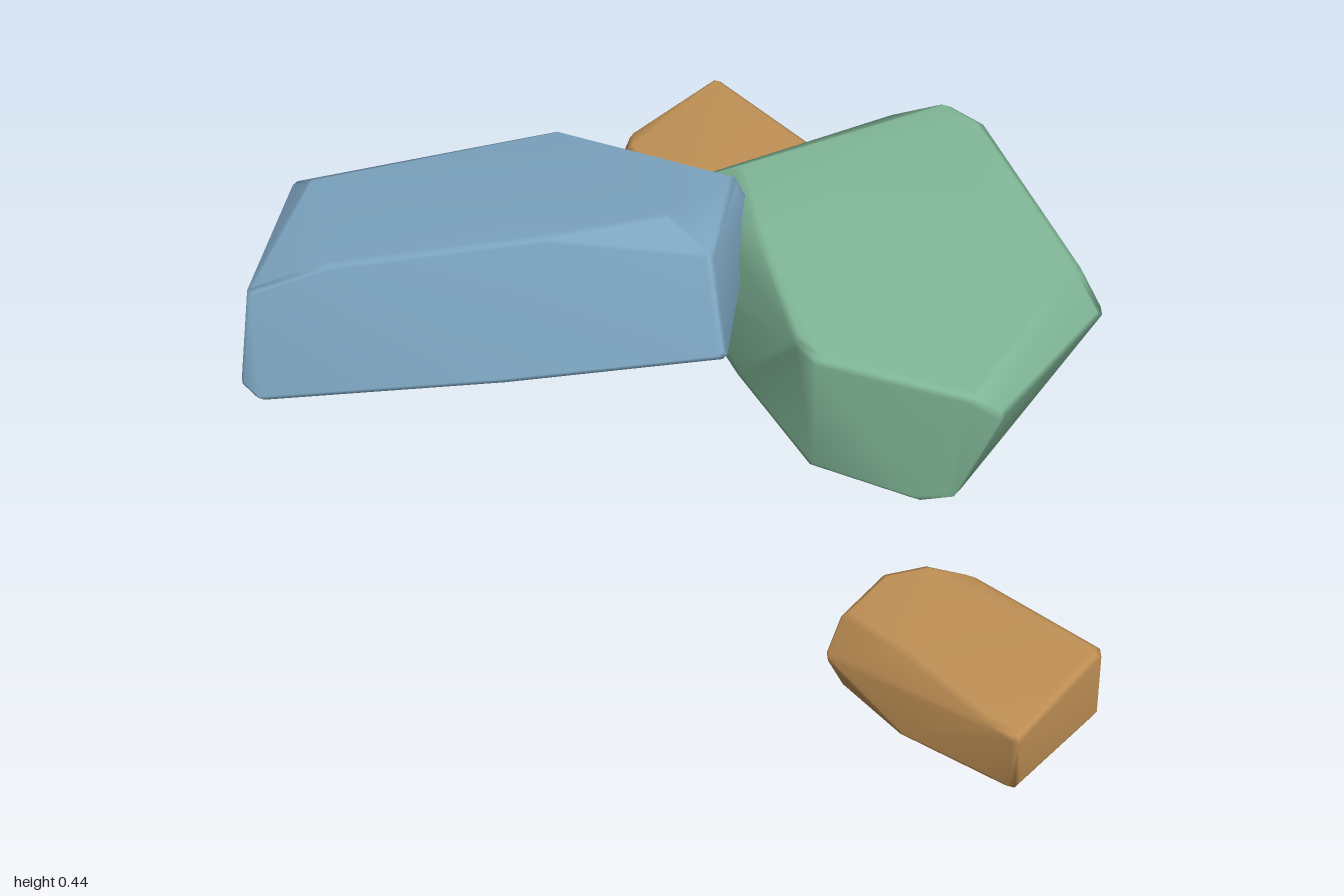
import * as THREE from 'three';
import { ConvexGeometry } from 'three/addons/geometries/ConvexGeometry.js';
import { mergeVertices } from 'three/addons/utils/BufferGeometryUtils.js';

const clamp = THREE.MathUtils.clamp;

// Directions of a small ball, used to soften every corner
const ball = [];
for (let x = -1; x <= 1; x++)
  for (let y = -1; y <= 1; y++)
    for (let z = -1; z <= 1; z++) {
      const n = Math.abs(x) + Math.abs(y) + Math.abs(z);
      if (n === 1 || n === 3) ball.push(new THREE.Vector3(x, y, z).normalize());
    }

// Convex stone through its corners, with edges rounded by radius r
function stone(name, material, r, corners) {
  const pts = corners.map((c) => new THREE.Vector3(...c));
  const mid = new THREE.Box3().setFromPoints(pts).getCenter(new THREE.Vector3());
  const inset = (v, m, s) => v - r * clamp((v - m) / s, -1, 1);
  const cloud = [];
  for (const p of pts) {
    const c = new THREE.Vector3(inset(p.x, mid.x, 0.1), inset(p.y, mid.y, 0.05), inset(p.z, mid.z, 0.1));
    for (const d of ball) cloud.push(c.clone().addScaledVector(d, r));
  }
  let geometry = new ConvexGeometry(cloud);
  geometry.deleteAttribute('normal');
  geometry = mergeVertices(geometry, 1e-4);
  geometry.computeVertexNormals();
  const mesh = new THREE.Mesh(geometry, material);
  mesh.name = name;
  return mesh;
}

export function createModel() {
  const paint = (name, color) => {
    const m = new THREE.MeshStandardMaterial({ color });
    m.name = name;
    return m;
  };
  const blue = paint('dusty blue', 0x7fa8c4);
  const green = paint('sage green', 0x7fb596);
  const ochre = paint('ochre', 0xc09055);

  const group = new THREE.Group();
  group.name = 'stones';

  // Long slab leaning up toward the middle
  group.add(stone('longSlab', blue, 0.014, [
    [-0.96, 0.005, -0.03], [-0.84, 0.015, 0.4], [-0.88, 0.03, 0.39], [-0.35, 0.11, 0.25],
    [0.04, 0.19, 0.08], [-0.06, 0.2, -0.18], [-0.55, 0.08, -0.3],
    [-1, 0.22, -0.04], [-0.93, 0.29, 0.02], [-0.87, 0.24, 0.36], [-0.72, 0.32, 0.3],
    [-0.3, 0.41, 0.15], [-0.1, 0.45, 0.02], [-0.01, 0.4, 0.03], [-0.07, 0.42, -0.2],
    [-0.04, 0.35, -0.21], [-0.5, 0.37, -0.26], [-0.54, 0.26, -0.315],
  ]));

  // Broad five-sided stone
  group.add(stone('broadStone', green, 0.018, [
    [0.05, 0.35, -0.65], [0.16, 0.385, -0.68], [0.26, 0.38, -0.655], [0.59, 0.3, -0.38],
    [0.64, 0.22, -0.37], [0.61, 0.25, 0.07], [0.57, 0.285, 0.1], [0.27, 0.295, 0.13],
    [0.2, 0.3, 0.1], [0, 0.37, -0.1], [-0.12, 0.385, -0.28], [-0.22, 0.33, -0.27],
    [-0.28, 0.11, -0.27], [-0.21, 0.1, -0.2], [0, 0.06, -0.03], [0.26, 0.02, 0.12],
    [0.47, 0.005, 0.11], [0.53, 0.02, 0.09], [0.55, 0.06, -0.4], [0.38, 0.07, -0.5],
    [0.12, 0.13, -0.59], [0.16, 0.23, -0.66],
  ]));

  // Flat stone under the broad one
  group.add(stone('backStone', ochre, 0.012, [
    [-0.555, 0.03, -0.56], [-0.52, 0.035, -0.48], [-0.44, 0.03, -0.775], [-0.45, 0.1, -0.795],
    [-0.42, 0.225, -0.785], [-0.51, 0.18, -0.58], [-0.48, 0.2, -0.5], [-0.23, 0.02, -0.27],
    [-0.22, 0.2, -0.3], [0.15, 0.005, -0.55], [0.04, 0.02, -0.33], [0.1, 0.18, -0.55],
    [0, 0.2, -0.36], [0.03, 0.05, -0.61], [0.02, 0.2, -0.6],
  ]));

  // Small loose stone in front
  group.add(stone('looseStone', ochre, 0.016, [
    [0.52, 0.06, 0.65], [0.55, 0.01, 0.65], [0.56, 0.01, 0.53], [0.64, 0.02, 0.46],
    [0.73, 0.01, 0.46], [0.97, 0.01, 0.54], [1, 0.03, 0.54], [0.94, 0.005, 0.77],
    [0.9, 0.01, 0.765], [0.7, 0.005, 0.73], [0.535, 0.155, 0.62], [0.56, 0.17, 0.5],
    [0.62, 0.175, 0.45], [0.7, 0.175, 0.44], [0.995, 0.172, 0.52], [0.95, 0.155, 0.79],
    [0.9, 0.155, 0.78], [0.68, 0.165, 0.69],
  ]));

  return group;
}
